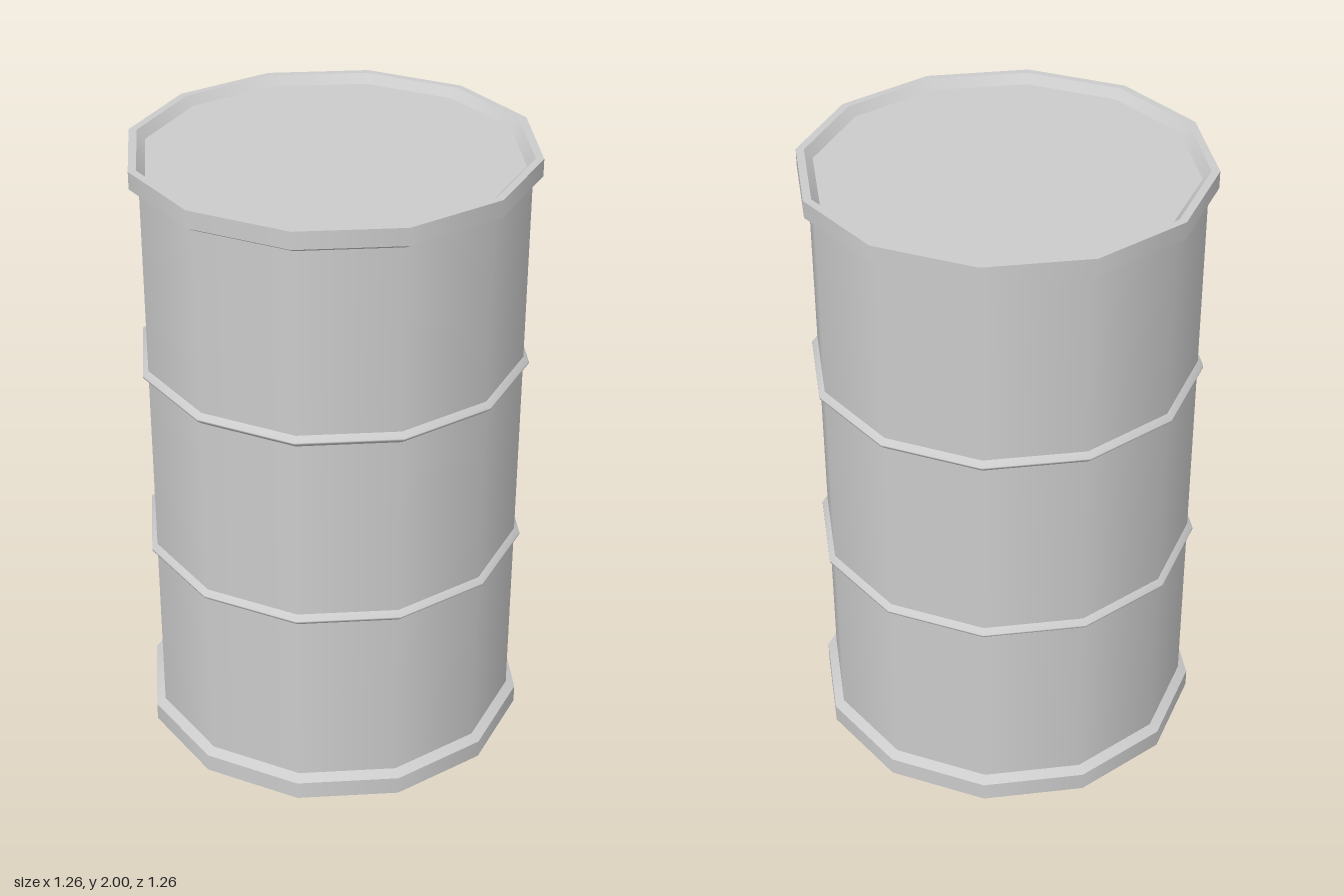
import * as THREE from 'three';

const SIDES = 12;

export function createModel() {
  const group = new THREE.Group();
  group.name = 'drum';
  const material = new THREE.MeshStandardMaterial({ color: 0xcccccc });

  // Each profile is its own lathe: smooth inside a profile, sharp where two meet.
  // Profiles run counter-clockwise so their faces point outwards.
  function part(name, ...profiles) {
    const holder = new THREE.Group();
    holder.name = name;
    profiles.forEach((profile, i) => {
      const points = profile.map(([r, y]) => new THREE.Vector2(r, y));
      const mesh = new THREE.Mesh(new THREE.LatheGeometry(points, SIDES), material);
      mesh.name = `${name}Surface${i + 1}`;
      holder.add(mesh);
    });
    group.add(holder);
  }

  const body = 0.6, rim = 0.63, bead = 0.618;

  // Base plate and bottom rim
  part('bottomRim',
    [[0, 0], [rim, 0]],
    [[rim, 0], [rim, 0.06]],
    [[rim, 0.06], [body, 0.078]]);

  // Wall sections between the rims and the raised hoops
  const hoops = [0.685, 1.32], half = 0.018;
  const stops = [0.078, ...hoops.flatMap(y => [y - half, y + half]), 1.928];
  for (let i = 0; i < stops.length; i += 2) {
    part(`wall${i / 2 + 1}`, [[body, stops[i]], [body, stops[i + 1]]]);
  }

  // Raised hoops
  hoops.forEach((y, i) => part(`hoop${i + 1}`,
    [[body, y - half], [bead, y - 0.003], [bead, y + 0.003], [body, y + half]]));

  // Top rim with its sloped inner lip
  part('topRim',
    [[body, 1.928], [rim, 1.945]],
    [[rim, 1.945], [rim, 2]],
    [[rim, 2], [0.605, 2]],
    [[0.605, 2], [0.58, 1.972]]);

  // Sunken lid
  part('lid', [[0.58, 1.972], [0, 1.972]]);

  return group;
}
